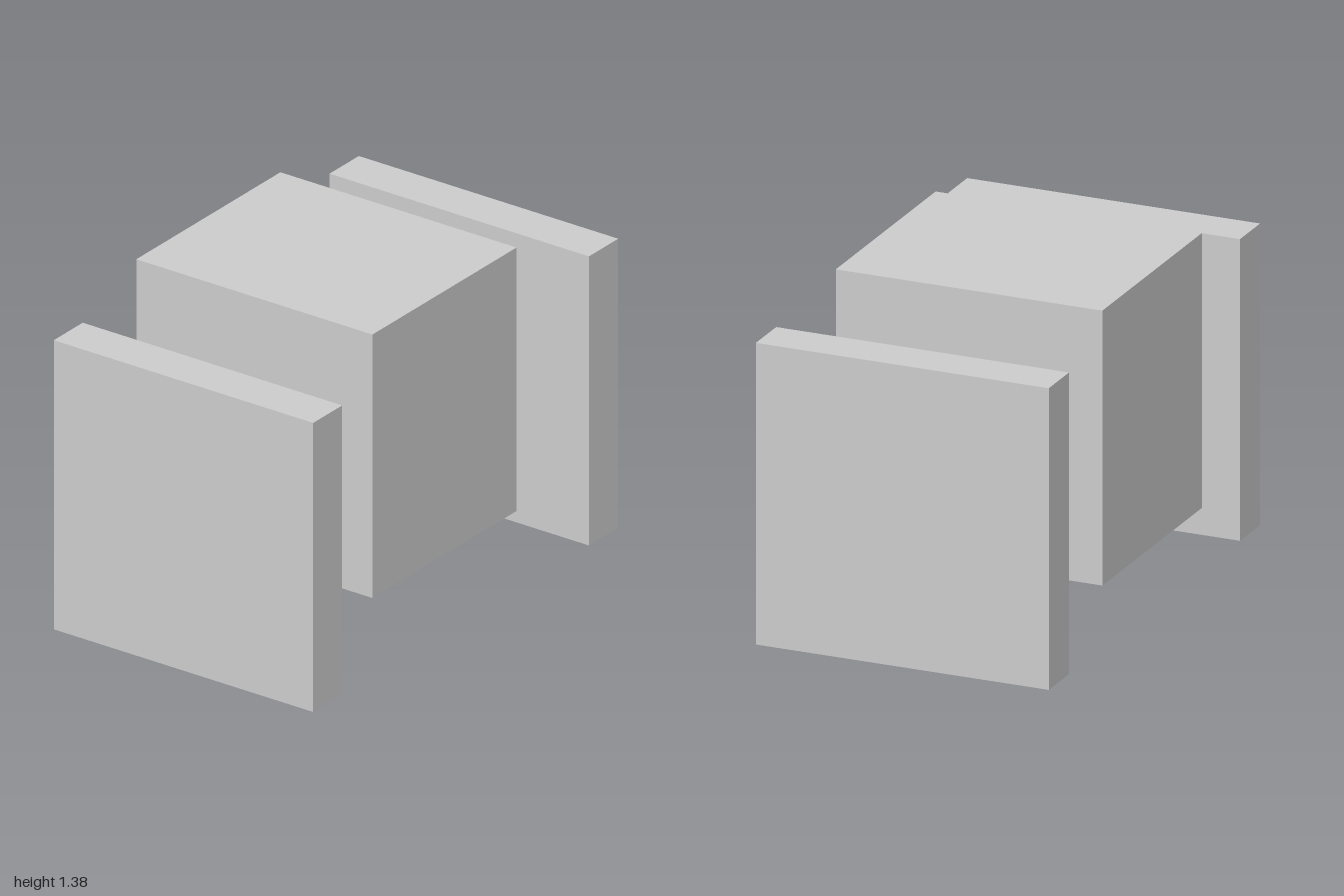
import * as THREE from 'three';

const material = new THREE.MeshStandardMaterial({ color: 0xcccccc, flatShading: true });

// Box given by its lower and upper limits on each axis
function box(name, [x0, x1], [y0, y1], [z0, z1]) {
  const mesh = new THREE.Mesh(new THREE.BoxGeometry(x1 - x0, y1 - y0, z1 - z0), material);
  mesh.position.set((x0 + x1) / 2, (y0 + y1) / 2, (z0 + z1) / 2);
  mesh.name = name;
  return mesh;
}

export function createModel() {
  const model = new THREE.Group();
  model.name = 'model';

  // Central block, set slightly towards the back
  model.add(box('body', [-0.47, 0.475], [0.25, 1.38], [-0.61, 0.515]));

  // Square arms joining the body to the side panels
  const armY = [0.507, 0.973], armZ = [-0.235, 0.231];
  model.add(box('leftArm', [0.475, 0.81], armY, armZ));
  model.add(box('rightArm', [-0.81, -0.47], armY, armZ));

  // Upright side panels, which the model stands on
  const panelY = [0, 1.24], panelZ = [-0.618, 0.618];
  model.add(box('leftPanel', [0.808, 1], panelY, panelZ));
  model.add(box('rightPanel', [-1, -0.81], panelY, panelZ));

  return model;
}
